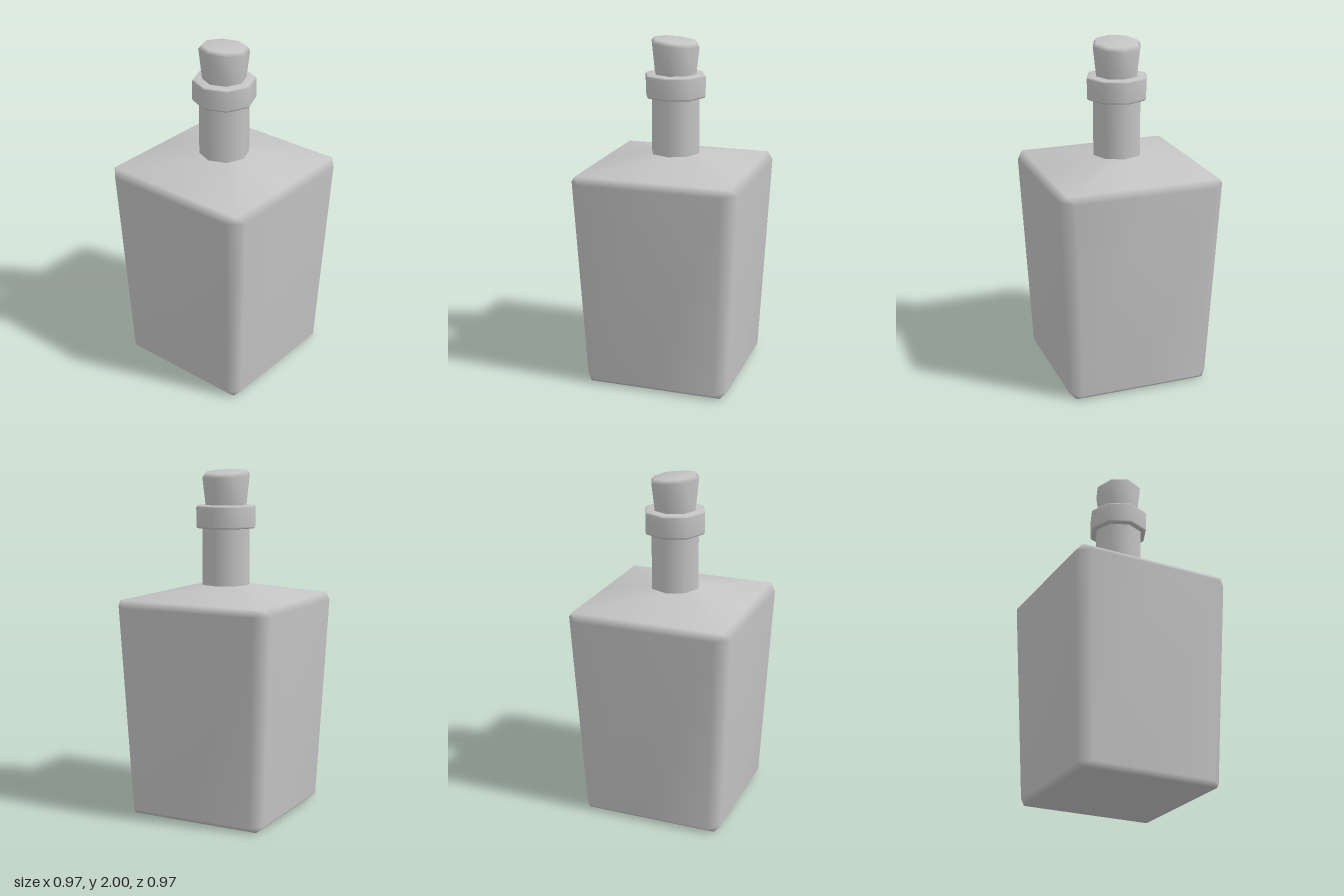
import * as THREE from 'three';
import { mergeVertices } from 'three/addons/utils/BufferGeometryUtils.js';

// Weld coincident points and give the surface smooth normals
function smooth(geometry) {
  geometry.deleteAttribute('uv');
  geometry.deleteAttribute('normal');
  const welded = mergeVertices(geometry, 1e-4);
  welded.computeVertexNormals();
  return welded;
}

// Loft of four-fold symmetric rings [y, axisDistance, u, v]:
// each quarter has the points (0, axis), (u, v) and (v, u)
function loftSquare(rings) {
  const positions = [], index = [], n = 12;
  for (const [y, axis, u, v] of rings) {
    for (let q = 0; q < 4; q++) {
      const c = Math.cos(q * Math.PI / 2), s = Math.sin(q * Math.PI / 2);
      for (const [x, z] of [[0, axis], [u, v], [v, u]]) {
        positions.push(x * c + z * s, y, z * c - x * s);
      }
    }
  }
  for (let j = 0; j < rings.length - 1; j++) {
    for (let i = 0; i < n; i++) {
      const a = j * n + i, b = j * n + (i + 1) % n;
      index.push(a, b, b + n, a, b + n, a + n);
    }
  }
  const geometry = new THREE.BufferGeometry();
  geometry.setAttribute('position', new THREE.Float32BufferAttribute(positions, 3));
  geometry.setIndex(index);
  return smooth(geometry);
}

// Eight-sided turned part from [radius, y] points, bottom to top
function turned(profile) {
  return new THREE.LatheGeometry(profile.map(([r, y]) => new THREE.Vector2(r, y)), 8);
}

export function createModel() {
  const model = new THREE.Group();
  model.name = 'bottle';
  const grey = new THREE.MeshStandardMaterial({ color: 0xc4c4c4 });
  grey.name = 'plain grey';

  const add = (name, geometry) => {
    const mesh = new THREE.Mesh(geometry, grey);
    mesh.name = name;
    model.add(mesh);
  };

  // Tapered square body with bevelled edges and a sloping shoulder
  add('body', loftSquare([
    [0, 0, 0, 0],
    [0, 0.395, 0.395, 0.395],
    [0.03, 0.427, 0.365, 0.427],
    [1.225, 0.483, 0.41, 0.483],
    [1.265, 0.447, 0.447, 0.447],
    [1.337, 0.144, 0.102, 0.102],
  ]));

  // Straight neck
  add('neck', turned([[0.144, 1.33], [0.144, 1.68]]));

  // Collar around the mouth
  add('collar', turned([
    [0.14, 1.665], [0.174, 1.665], [0.18, 1.675],
    [0.18, 1.785], [0.174, 1.795], [0.11, 1.797],
  ]));

  // Flared stopper whose top is cut at a slant
  const stopper = turned([[0.122, 1.78], [0.143, 1.965], [0.126, 1.987], [0, 1.987]]);
  const p = stopper.attributes.position;
  for (let i = 0; i < p.count; i++) {
    if (p.getY(i) > 1.9) p.setY(i, p.getY(i) - 0.1 * p.getX(i));
  }
  add('stopper', smooth(stopper));

  return model;
}
